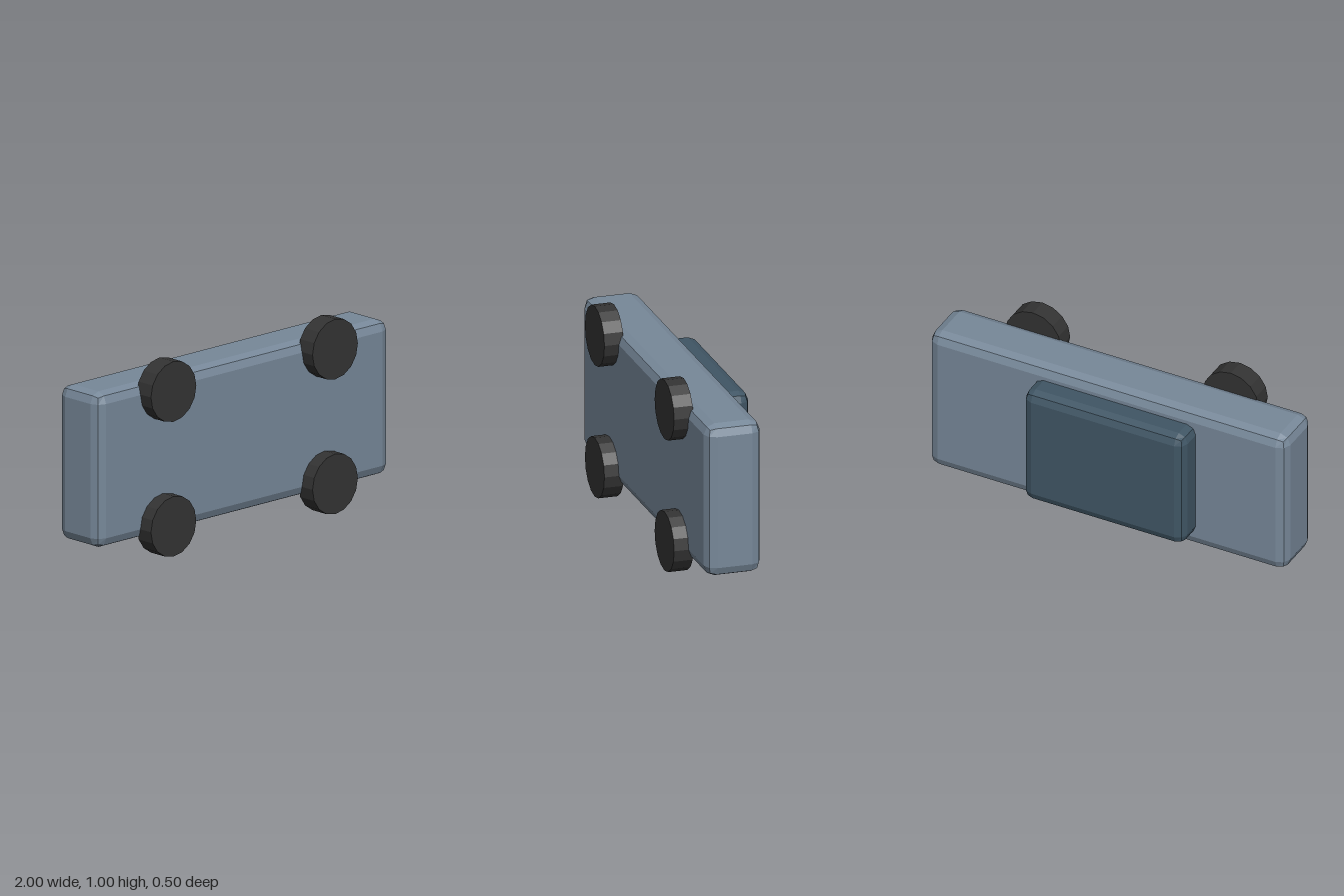
import * as THREE from 'three';
import { RoundedBoxGeometry } from 'three/addons/geometries/RoundedBoxGeometry.js';

function material(name, color) {
  const m = new THREE.MeshStandardMaterial({ color, flatShading: true });
  m.name = name;
  return m;
}

// Bevelled box spanning the given min and max corners
function bevelledBox(name, min, max, bevel, mat) {
  const size = max.map((v, i) => v - min[i]);
  const mesh = new THREE.Mesh(new RoundedBoxGeometry(...size, 1, bevel), mat);
  mesh.position.set(...max.map((v, i) => (v + min[i]) / 2));
  mesh.name = name;
  return mesh;
}

export function createModel() {
  const car = new THREE.Group();
  car.name = 'car';
  const paint = material('slate paint', 0x778899);
  const glass = material('dark blue cabin', 0x405665);
  const rubber = material('black rubber', 0x333333);

  // Body lies on its side, with the roof towards -z
  car.add(bevelledBox('body', [-1, 0.1, -0.115], [1, 0.9, 0.175], 0.055, paint));
  car.add(bevelledBox('cabin', [-0.5, 0.175, -0.25], [0.4, 0.825, -0.03], 0.05, glass));

  // Four wheels with their axes along z
  const wheelGeometry = new THREE.CylinderGeometry(0.155, 0.155, 0.1, 16);
  wheelGeometry.rotateX(Math.PI / 2);
  for (const x of [-0.555, 0.55]) {
    for (const y of [0.155, 0.848]) {
      const wheel = new THREE.Mesh(wheelGeometry, rubber);
      wheel.name = 'wheel';
      wheel.position.set(x, y, 0.2);
      car.add(wheel);
    }
  }
  return car;
}
